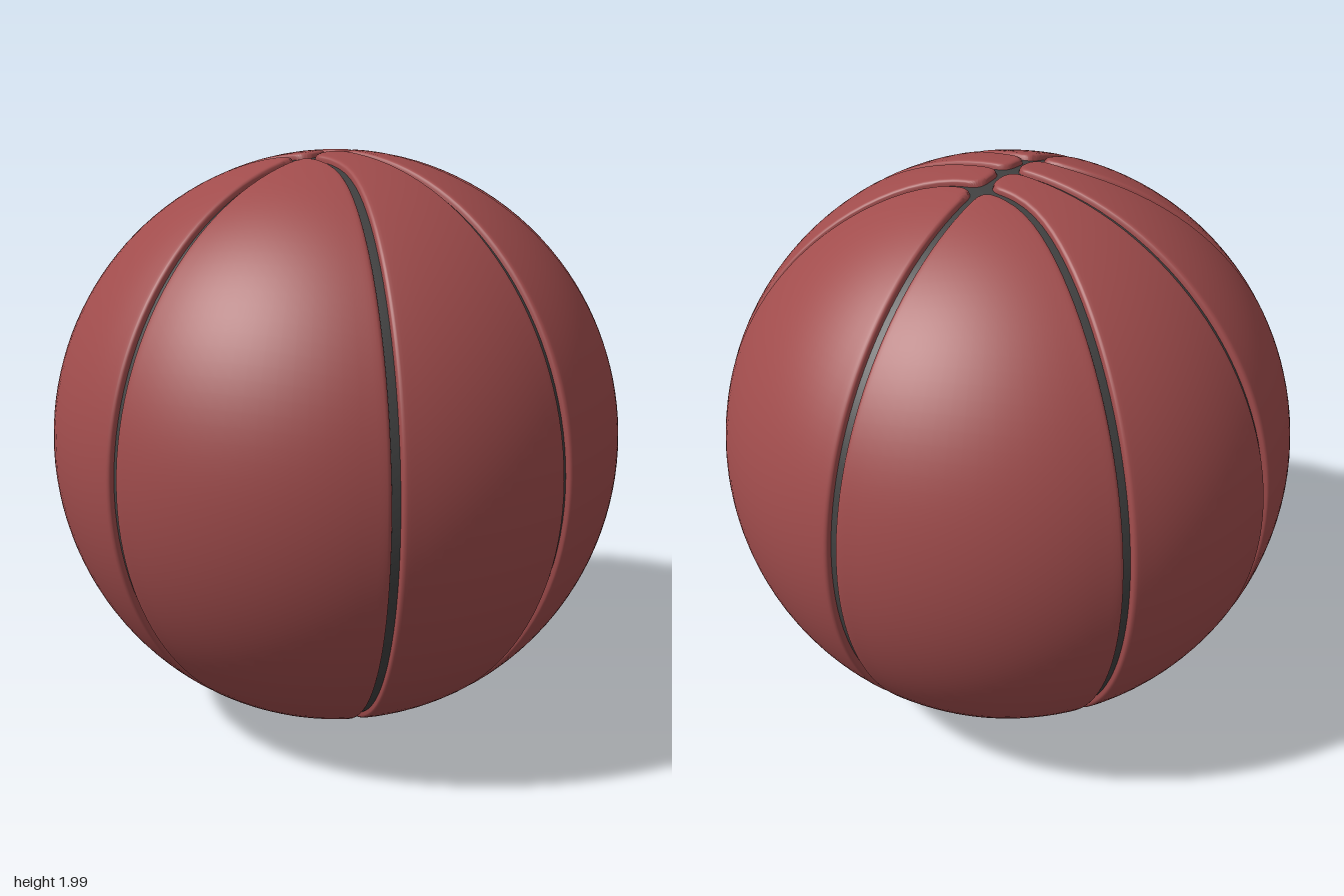
import * as THREE from 'three';

const SEAM = 0.157, FLARE = 0.72;         // side seam: offset at the top, outward flare
const FLOOR = 0.02;                       // depth of the groove floor
const SCALE = [0.987, 0.998, 0.987];      // very slightly tall ball
const seamX = (z) => Math.cbrt(SEAM ** 3 + (FLARE * z) ** 3);

// Point of the curved side seam on the unit sphere, angle measured from the top
function seamPoint(angle) {
  let x = SEAM;
  for (let i = 0; i < 40; i++) x = seamX(Math.abs(Math.sin(angle)) * Math.sqrt(1 - x * x));
  const r = Math.sqrt(1 - x * x);
  return new THREE.Vector3(x, r * Math.cos(angle), r * Math.abs(Math.sin(angle)));
}

// Smooth minimum, rounds the panel corners where seams meet
function smoothMin(a, b, k = 0.05) {
  const h = Math.max(k - Math.abs(a - b), 0) / k;
  return Math.min(a, b) - h * h * k / 4;
}

// Distance from a point on the unit sphere to the nearest seam
function seamDistance(p) {
  const h = seamX(p.z), slope = FLARE ** 3 * p.z * p.z / (h * h);
  const radial = p.x - slope * p.z;
  const grad = Math.sqrt(Math.max(1 + slope * slope - radial * radial, 0.05));
  return smoothMin(smoothMin(p.x, Math.abs(p.x - h) / grad), p.z);
}

// Radius with a rounded lip that drops below the groove floor
function panelRadius(d) {
  const t = THREE.MathUtils.clamp((0.03 - d) / 0.015, 0, 1);
  const lip = 0.013 * (1 - Math.sqrt(1 - t * t));
  const wall = 0.025 * THREE.MathUtils.clamp((0.015 - d) / 0.004, 0, 1);
  return 1 - lip - wall;
}

// Sample positions 0..1 over a given length, packed close to both ends
function samples(length, edge, middle) {
  const last = edge[edge.length - 1];
  const k = Math.min(1, 0.4 * length / last);
  const start = edge.map((e) => (length > 1e-6 ? e * k / length : 0.4 * e / last));
  const s0 = start[start.length - 1], list = [...start];
  for (let i = 1; i < middle; i++) list.push(s0 + (1 - 2 * s0) * i / middle);
  return list.concat(start.map((s) => 1 - s).reverse());
}

function slerp(a, b, f) {
  const L = a.angleTo(b);
  if (L < 1e-5) return a.clone();
  return a.clone().multiplyScalar(Math.sin((1 - f) * L))
    .addScaledVector(b, Math.sin(f * L)).normalize();
}

const ACROSS = [0, 0.011, 0.013, 0.015, 0.0165, 0.0185, 0.021, 0.025, 0.03, 0.04, 0.055];
const ALONG = [0, 0.011, 0.013, 0.015, 0.0165, 0.0185, 0.021, 0.025, 0.03, 0.035,
  0.04, 0.045, 0.05, 0.055, 0.06, 0.07, 0.08, 0.1, 0.12];

// Panel stretched between two edge curves, mirrored by sx and sz
function panelGeometry(edgeA, edgeB, sx, sz) {
  const positions = [], index = [];
  const rows = samples(Math.PI, ALONG, 60);
  let cols = 0;
  for (const t of rows) {
    const a = edgeA(t), b = edgeB(t);
    const us = samples(a.angleTo(b), ACROSS, 16);
    cols = us.length;
    for (const u of us) {
      const p = slerp(a, b, u);
      p.multiplyScalar(panelRadius(seamDistance(p)));
      positions.push(p.x * sx * SCALE[0], p.y * SCALE[1], p.z * sz * SCALE[2]);
    }
  }
  for (let r = 0; r < rows.length - 1; r++) {
    for (let c = 0; c < cols - 1; c++) {
      const a = r * cols + c, b = a + 1, d = a + cols, e = d + 1;
      if (sx * sz > 0) index.push(a, d, b, b, d, e);
      else index.push(a, b, d, b, e, d);
    }
  }
  const g = new THREE.BufferGeometry();
  g.setAttribute('position', new THREE.Float32BufferAttribute(positions, 3));
  g.setIndex(index);
  g.computeVertexNormals();
  return g;
}

// Edge curves, all running from top to bottom
const middleEdge = (t) => new THREE.Vector3(0, Math.cos(t * Math.PI), Math.sin(t * Math.PI));
const seamEdge = (t) => seamPoint(t * Math.PI);
const sideEdge = (t) => {
  const a0 = Math.asin(SEAM), a = a0 + t * (Math.PI - 2 * a0);
  return new THREE.Vector3(Math.sin(a), Math.cos(a), 0);
};

export function createModel() {
  const group = new THREE.Group();
  group.name = 'ball';
  const leather = new THREE.MeshStandardMaterial({ color: 0xa04c4c });
  const rubber = new THREE.MeshStandardMaterial({ color: 0x404040 });

  // Dark core that shows as the groove floor
  const core = new THREE.Mesh(new THREE.SphereGeometry(1 - FLOOR, 128, 64), rubber);
  core.name = 'grooveCore';
  core.scale.set(...SCALE);
  group.add(core);

  // Four inner and four outer panels
  for (const sx of [1, -1]) {
    for (const sz of [1, -1]) {
      const place = (sz > 0 ? 'Front' : 'Back') + (sx > 0 ? 'Left' : 'Right');
      const inner = new THREE.Mesh(panelGeometry(middleEdge, seamEdge, sx, sz), leather);
      inner.name = 'innerPanel' + place;
      const outer = new THREE.Mesh(panelGeometry(seamEdge, sideEdge, sx, sz), leather);
      outer.name = 'outerPanel' + place;
      group.add(inner, outer);
    }
  }
  group.children.forEach((m) => { m.position.y = 1; });
  return group;
}
